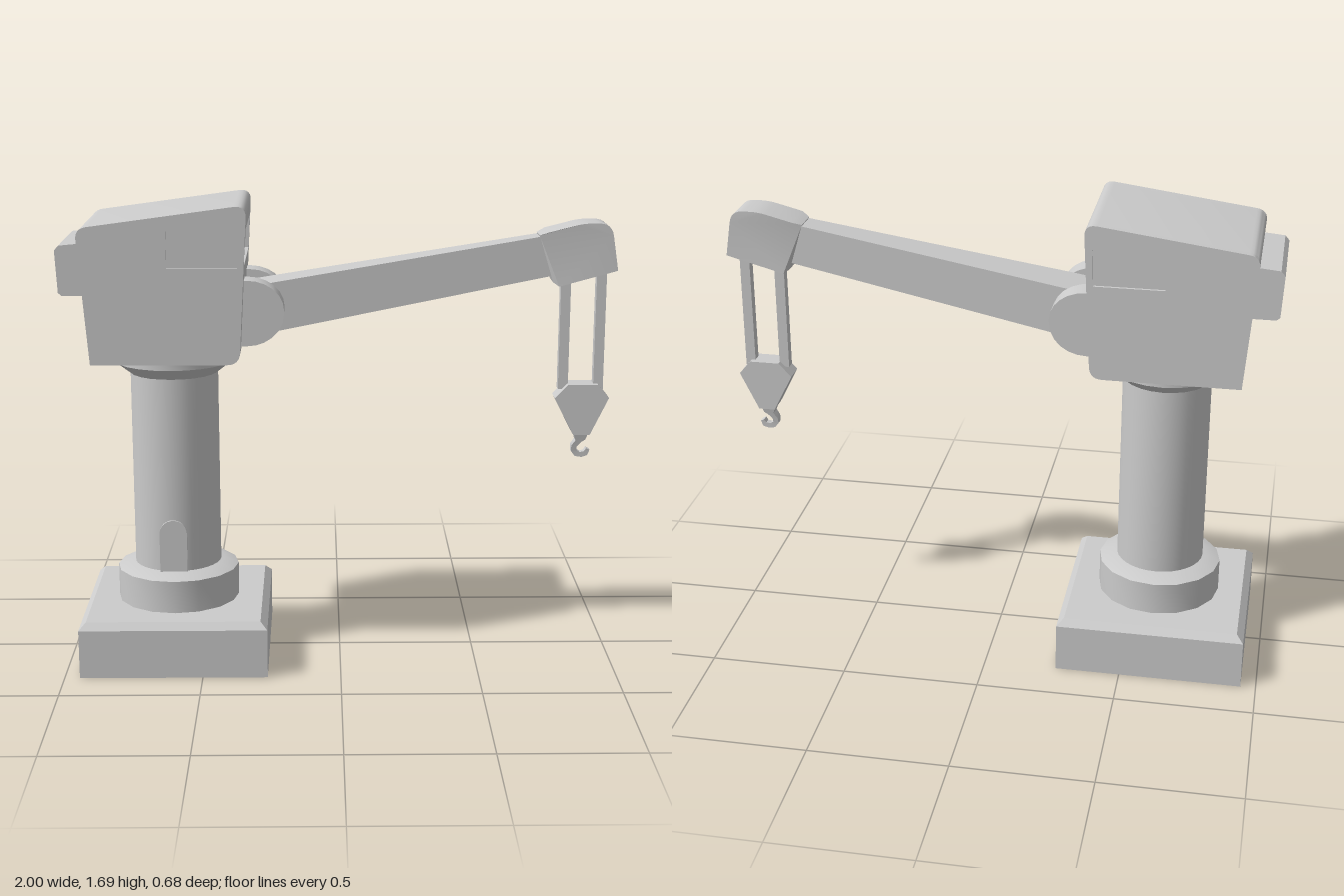
import * as THREE from 'three';
import { toCreasedNormals } from 'three/addons/utils/BufferGeometryUtils.js';

const AXIS = -0.605; // x of the tower centre line
const material = new THREE.MeshStandardMaterial({ color: 0xcccccc });
const openMaterial = new THREE.MeshStandardMaterial({ color: 0xcccccc, side: THREE.DoubleSide });

export function createModel() {
  const model = new THREE.Group();

  function add(name, geometry, mat = material) {
    const mesh = new THREE.Mesh(toCreasedNormals(geometry, 0.6), mat);
    mesh.name = name;
    model.add(mesh);
    return mesh;
  }

  // Outline in x/y; a third value on a corner rounds it by that distance
  function outline(points) {
    const shape = new THREE.Shape();
    const n = points.length;
    const v = points.map(p => new THREE.Vector2(p[0], p[1]));
    points.forEach((p, i) => {
      const r = p[2] || 0;
      const toward = j => v[i].clone().add(v[j].clone().sub(v[i]).setLength(r));
      const a = r ? toward((i + n - 1) % n) : v[i];
      if (i) shape.lineTo(a.x, a.y); else shape.moveTo(a.x, a.y);
      if (r) {
        const b = toward((i + 1) % n);
        shape.quadraticCurveTo(v[i].x, v[i].y, b.x, b.y);
      }
    });
    shape.closePath();
    return shape;
  }

  // Slab of an outline between two depths
  function slab(shape, z0, z1) {
    return new THREE.ExtrudeGeometry(shape, { depth: z1 - z0, bevelEnabled: false, curveSegments: 6 })
      .translate(0, 0, z0);
  }

  // Scale z of every vertex by a rule of its x and y
  function taper(geometry, rule) {
    const p = geometry.attributes.position;
    for (let i = 0; i < p.count; i++) p.setZ(i, p.getZ(i) * rule(p.getX(i), p.getY(i)));
    return geometry;
  }

  function lathe(points, sides) {
    return new THREE.LatheGeometry(points.map(p => new THREE.Vector2(...p)), sides);
  }

  // Hollow square base, open underneath, with a chamfered top edge
  const k = Math.SQRT2;
  add('base', lathe([[0.34 * k, 0], [0.34 * k, 0.18], [0.315 * k, 0.205], [0, 0.205]], 4)
    .rotateY(Math.PI / 4).translate(AXIS, 0, 0), openMaterial);

  // Round tower
  add('collar', lathe([[0, 0.19], [0.225, 0.19], [0.225, 0.325], [0.175, 0.345], [0, 0.345]], 16)
    .translate(AXIS, 0, 0));
  add('column', new THREE.CylinderGeometry(0.16, 0.16, 0.76, 32).translate(AXIS, 0.71, 0));
  add('slewingRing', lathe([[0, 1.065], [0.16, 1.065], [0.218, 1.11], [0.218, 1.135], [0.2, 1.15], [0, 1.15]], 24)
    .translate(AXIS, 0, 0));

  // Arched door on the column
  const door = new THREE.Shape();
  door.moveTo(-0.05, 0.34);
  door.lineTo(0.05, 0.34);
  door.lineTo(0.05, 0.49);
  door.absarc(0, 0.49, 0.05, 0, Math.PI, false);
  door.closePath();
  add('door', slab(door, 0.12, 0.166).translate(-0.61, 0, 0));

  // Cab: a core notched for the front window, with full cheeks and pierced side skins
  const rear = [[-0.88, 1.138], [-0.918, 1.62, 0.04]];
  const roof = [-0.325, 1.7, 0.045];
  const chin = [-0.355, 1.138, 0.045];
  const frontX = y => -0.355 + (y - 1.138) * 0.0534;
  const full = () => outline([...rear, roof, chin].reverse());
  const notch = [[frontX(1.61), 1.61], [frontX(1.61) - 0.014, 1.61],
    [frontX(1.485) - 0.014, 1.485], [frontX(1.485), 1.485]];
  add('cabCore', slab(outline([...rear, roof, ...notch, chin].reverse()), -0.23, 0.23));
  const skin = full();
  skin.holes.push(outline([[-0.605, 1.48], [-0.605, 1.61], [-0.355, 1.61], [-0.36, 1.48]]));
  for (const side of [-1, 1]) {
    const cheek = side > 0 ? [0.23, 0.242] : [-0.242, -0.23];
    const outer = side > 0 ? [0.242, 0.252] : [-0.252, -0.242];
    add('cabCheek', slab(full(), ...cheek));
    add('cabSide', slab(skin, ...outer));
  }

  // Machinery box on the back of the cab
  add('rearBox', slab(outline([[-0.98, 1.375], [-0.88, 1.375], [-0.9, 1.56], [-0.985, 1.552], [-1, 1.535], [-0.992, 1.385]]),
    -0.187, 0.187));

  // Rounded brackets either side of the boom foot
  const bracket = new THREE.Shape();
  bracket.moveTo(-0.38, 1.19);
  bracket.lineTo(-0.33, 1.19);
  bracket.bezierCurveTo(-0.27, 1.19, -0.198, 1.23, -0.198, 1.315);
  bracket.bezierCurveTo(-0.198, 1.38, -0.26, 1.425, -0.33, 1.425);
  bracket.lineTo(-0.38, 1.425);
  bracket.closePath();
  for (const [z0, z1] of [[0.083, 0.175], [-0.175, -0.083]]) add('boomBracket', slab(bracket, z0, z1));

  // Boom narrowing toward its tip
  add('boom', taper(slab(outline([[-0.36, 1.2], [0.78, 1.422], [0.76, 1.567], [-0.36, 1.383]]), -1, 1),
    x => 0.086 - (x + 0.33) * 0.036));

  // Boom head, pinched where it meets the boom
  add('boomHead', taper(slab(outline([[0.715, 1.565], [0.768, 1.395], [0.787, 1.383], [0.997, 1.44],
    [0.97, 1.61, 0.045], [0.87, 1.61, 0.03], [0.745, 1.578]]), -0.068, 0.068),
    x => (x < 0.742 || Math.abs(x - 0.768) < 0.005 ? 0.7 : 1)));

  // Hoist cables
  for (const x of [0.819, 0.948]) {
    add('cable', new THREE.BoxGeometry(0.036, 0.46, 0.036).translate(x, 1.225, 0));
  }

  // Pulley block and hook
  add('pulleyBlock', slab(outline([[0.86, 0.825], [0.92, 0.825], [0.987, 0.965], [0.945, 1.015], [0.835, 1.015], [0.788, 0.965]]),
    -0.04, 0.04));
  add('hook', taper(slab(outline([[0.863, 0.83], [0.917, 0.83], [0.908, 0.803], [0.893, 0.793], [0.878, 0.776],
    [0.877, 0.762], [0.89, 0.753], [0.905, 0.756], [0.913, 0.768], [0.926, 0.762], [0.918, 0.741], [0.897, 0.734],
    [0.872, 0.738], [0.857, 0.757], [0.858, 0.78], [0.872, 0.8]].reverse()), -1, 1),
    (x, y) => 0.012 + Math.max(0, y - 0.755) * 0.19));

  return model;
}
